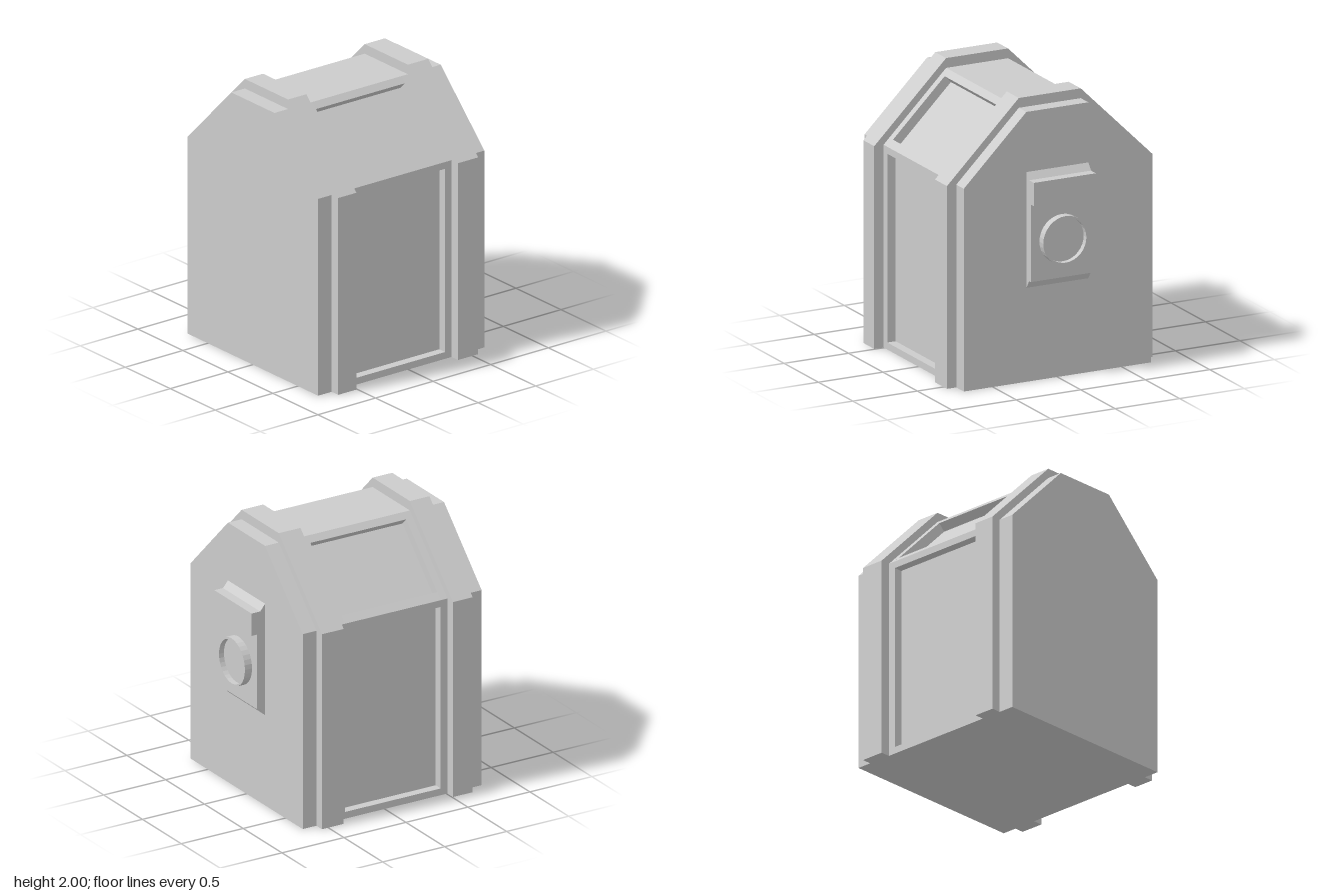
import * as THREE from 'three';

const material = new THREE.MeshStandardMaterial({ color: 0xcccccc, flatShading: true });

// Mirror a half profile of [z, y] points into a full outline
const mirrored = (half) => [...half, ...half.map(([z, y]) => [-z, y]).reverse()];

function extrude(points, depth) {
  const shape = new THREE.Shape(points.map(([a, b]) => new THREE.Vector2(a, b)));
  return new THREE.ExtrudeGeometry(shape, { depth, bevelEnabled: false });
}

function addMesh(group, name, geometry) {
  const mesh = new THREE.Mesh(geometry, material);
  mesh.name = name;
  group.add(mesh);
  return mesh;
}

// Sweep a z-y outline along x from x0 to x1
function addSlice(group, name, points, x0, x1) {
  const geometry = extrude(points, x1 - x0).rotateY(Math.PI / 2).translate(x0, 0, 0);
  return addMesh(group, name, geometry);
}

export function createModel() {
  const group = new THREE.Group();
  group.name = 'shelter';

  const shell = mirrored([[0.725, 0], [0.725, 1.45], [0.24, 1.93]]);
  const ribOuter = mirrored([[0.797, 0], [0.797, 1.45], [0.24, 2]]);

  // Middle section with sunken wall and roof panels on front and back
  const paneled = mirrored([
    [0.725, 0], [0.725, 0.05], [0.66, 0.05], [0.66, 1.4], [0.725, 1.4], [0.725, 1.45],
    [0.68, 1.494], [0.632, 1.446], [0.232, 1.842], [0.28, 1.89], [0.24, 1.93],
  ]);
  addSlice(group, 'paneledMiddle', paneled, -0.453, 0.32);

  // Solid end sections
  addSlice(group, 'rightEnd', shell, -0.783, -0.453);
  addSlice(group, 'leftEnd', shell, 0.32, 0.66);

  // Raised hoops running over walls and roof
  const hoop = [...ribOuter, ...[...shell].reverse()];
  addSlice(group, 'rightRib', hoop, -0.665, -0.507);
  addSlice(group, 'leftRib', hoop, 0.375, 0.55);

  // Wall fixture: bevelled back plate with a protruding hood
  const fixture = new THREE.Group();
  fixture.name = 'wallFixture';
  group.add(fixture);
  const plate = [
    [0.65, 0.672], [0.66, 0.672], [0.7, 0.73], [0.725, 0.73], [0.725, 1.285],
    [0.77, 1.285], [0.77, 1.452], [0.7, 1.452], [0.66, 1.5], [0.65, 1.5],
  ];
  addMesh(fixture, 'plateAndHood', extrude(plate, 0.48).translate(0, 0, -0.24));

  // Round dish with a thin rim
  const dishProfile = [[0.174, 0], [0.174, 0.06], [0.16, 0.06], [0.16, 0.02], [0, 0.02]]
    .map(([r, h]) => new THREE.Vector2(r, h));
  const dish = addMesh(fixture, 'dish', new THREE.LatheGeometry(dishProfile, 32));
  dish.rotation.z = -Math.PI / 2;
  dish.position.set(0.722, 1.01, 0);

  return group;
}
